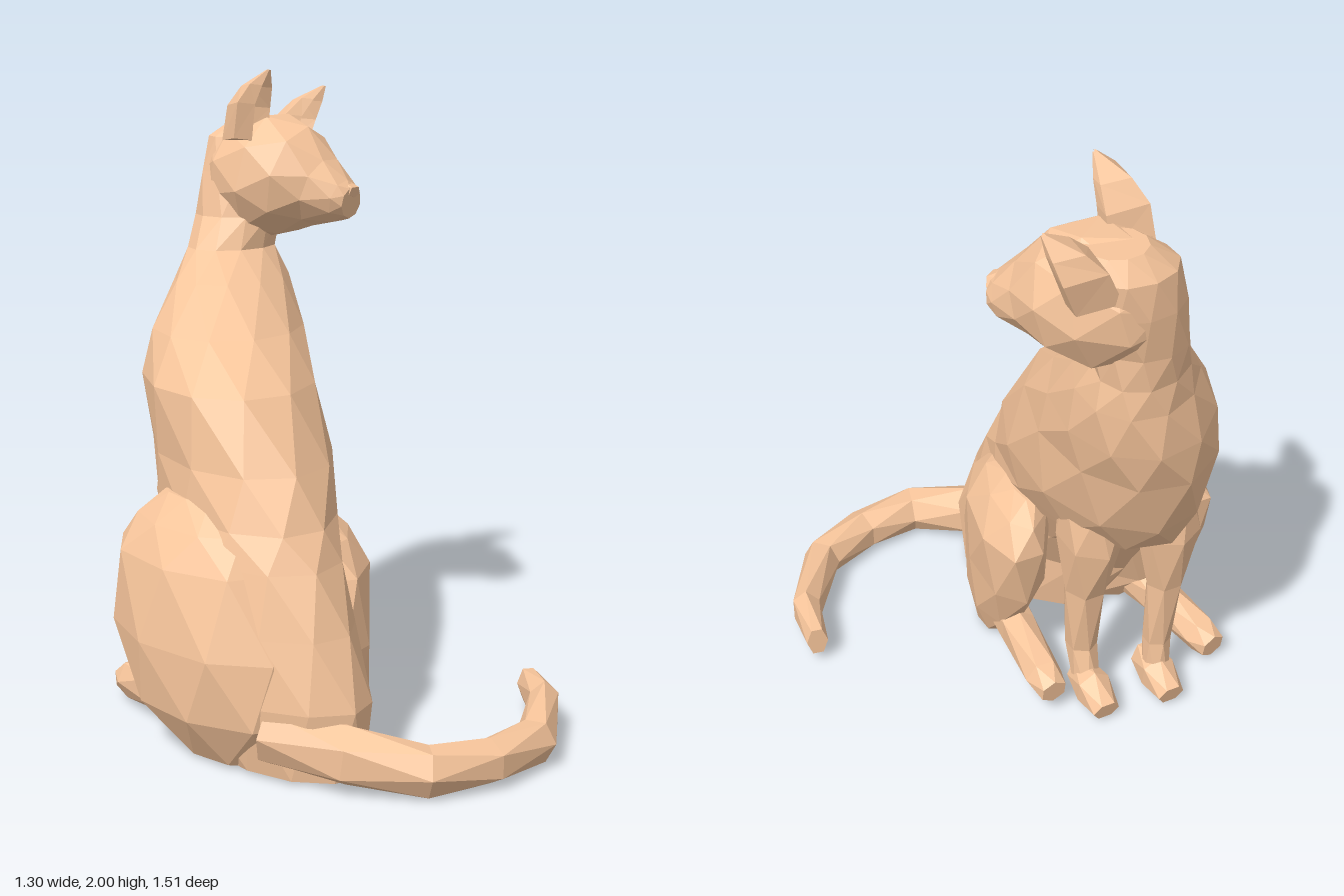
import * as THREE from 'three';

const fur = new THREE.MeshStandardMaterial({ color: 0xf8c69c, flatShading: true });

// Unit outline with n sides; odd rings are turned by half a step for a faceted skin
const circle = (n, odd) => Array.from({ length: n }, (_, i) => {
  const a = ((i + (odd ? 0.5 : 0)) / n) * Math.PI * 2;
  return [Math.cos(a), Math.sin(a)];
});

// Closed skin over a list of rings with equal point counts
function loft(name, rings) {
  const n = rings[0].length, pos = [];
  const tri = (...p) => p.forEach(v => pos.push(v.x, v.y, v.z));
  const middle = ring => ring.reduce((s, v) => s.add(v), new THREE.Vector3()).divideScalar(n);
  const first = rings[0], last = rings[rings.length - 1];
  const c0 = middle(first), c1 = middle(last);
  for (let i = 0; i < n; i++) {
    const j = (i + 1) % n;
    tri(c0, first[i], first[j]);
    tri(c1, last[j], last[i]);
    for (let r = 0; r < rings.length - 1; r++) {
      const a = rings[r], b = rings[r + 1];
      if (r % 2) { tri(a[i], b[i], b[j]); tri(a[i], b[j], a[j]); }
      else { tri(a[i], b[i], a[j]); tri(b[i], b[j], a[j]); }
    }
  }
  const g = new THREE.BufferGeometry();
  g.setAttribute('position', new THREE.Float32BufferAttribute(pos, 3));
  g.computeVertexNormals();
  const mesh = new THREE.Mesh(g, fur);
  mesh.name = name;
  return mesh;
}

// Horizontal slices: [y, xMin, xMax, zMin, zMax, sideways shift of the rear]
const stack = (name, slices, n, outline) => loft(name, slices.map(([y, x0, x1, z0, z1, shear = 0], k) =>
  (outline || circle(n, k % 2)).map(([c, s]) => new THREE.Vector3(
    (x0 + x1) / 2 + c * (x1 - x0) / 2 + s * shear, y, (z0 + z1) / 2 + s * (z1 - z0) / 2))));

// Sections across a path that runs sideways: [x, y, z, half width, half height]
function limb(name, path, n) {
  const up = new THREE.Vector3(0, 1, 0);
  const pts = path.map(p => new THREE.Vector3(p[0], p[1], p[2]));
  return loft(name, path.map(([, , , w, h], k) => {
    const t = pts[Math.min(k + 1, pts.length - 1)].clone().sub(pts[Math.max(k - 1, 0)]).normalize();
    const side = up.clone().cross(t).normalize(), over = side.clone().cross(t);
    return circle(n, k % 2).map(([c, s]) =>
      pts[k].clone().addScaledVector(side, c * w).addScaledVector(over, s * h));
  }));
}

function makeHead() {
  const head = new THREE.Group();
  head.name = 'head';
  // skull and muzzle, facing local +z
  head.add(limb('skull', [
    [0, 0.03, -0.19, 0.08, 0.10],
    [0, 0.01, -0.12, 0.155, 0.165],
    [0, -0.015, 0, 0.195, 0.21],
    [0, -0.03, 0.11, 0.18, 0.18],
    [0, -0.06, 0.20, 0.125, 0.115],
    [0, -0.085, 0.28, 0.085, 0.07],
    [0, -0.09, 0.31, 0.06, 0.05],
  ], 9));
  // nose bridge
  head.add(limb('nose', [
    [0, 0.03, 0.12, 0.06, 0.04],
    [0, -0.025, 0.24, 0.045, 0.03],
    [0, -0.055, 0.32, 0.035, 0.02],
  ], 5));
  // cupped ears, hollow towards the face
  const cup = [[1, 0.2], [0.55, 0.75], [0, -0.35], [-0.55, 0.75], [-1, 0.2], [0, -1]];
  for (const s of [1, -1]) {
    const slice = (y, x, z, w, d) => [y, s * x - w, s * x + w, z - d, z + d];
    head.add(stack(s > 0 ? 'leftEar' : 'rightEar', [
      slice(0.08, 0.125, -0.03, 0.085, 0.08),
      slice(0.19, 0.15, -0.01, 0.085, 0.075),
      slice(0.25, 0.165, 0.025, 0.055, 0.055),
      slice(0.30, 0.18, 0.075, 0.008, 0.008),
    ], 6, cup));
  }
  // turned to look over the shoulder, slightly tilted
  head.position.set(0, 1.67, -0.55);
  head.rotation.set(0, 0.7, -0.17, 'YXZ');
  return head;
}

export function createModel() {
  const cat = new THREE.Group();
  cat.name = 'sittingCat';

  // torso and neck, running up into the back of the head
  cat.add(stack('body', [
    [0.01, -0.42, -0.06, 0.02, 0.53, 0.08],
    [0.22, -0.51, -0.07, -0.10, 0.55, 0.13],
    [0.42, -0.51, -0.05, -0.22, 0.485, 0.08],
    [0.60, -0.50, -0.02, -0.38, 0.41, 0.03],
    [0.70, -0.49, 0.01, -0.55, 0.35, 0],
    [0.85, -0.49, 0.05, -0.65, 0.26, -0.02],
    [1.06, -0.50, 0.05, -0.72, 0.12, -0.05],
    [1.20, -0.44, 0.06, -0.745, -0.08, -0.06],
    [1.34, -0.34, 0.05, -0.735, -0.28, -0.06],
    [1.43, -0.27, 0.03, -0.73, -0.43, -0.04],
    [1.53, -0.23, 0.05, -0.74, -0.46, 0],
    [1.67, -0.205, 0.10, -0.755, -0.48, 0],
    [1.78, -0.175, 0.12, -0.75, -0.50, 0],
    [1.84, -0.09, 0.09, -0.70, -0.53, 0],
  ], 11));
  cat.add(makeHead());

  // haunches, blending into the rump
  cat.add(stack('leftHaunch', [
    [0.01, -0.12, 0.05, 0.02, 0.22, -0.03],
    [0.13, -0.14, 0.08, -0.08, 0.32, -0.05],
    [0.32, -0.15, 0.10, -0.21, 0.36, -0.06],
    [0.53, -0.14, 0.115, -0.26, 0.30, -0.06],
    [0.62, -0.12, 0.06, -0.22, 0.22, -0.05],
    [0.67, -0.09, 0.00, -0.14, 0.10, -0.03],
  ], 8));
  cat.add(stack('rightHaunch', [
    [0.01, -0.50, -0.26, 0.00, 0.34, 0.05],
    [0.15, -0.60, -0.24, -0.13, 0.44, 0.10],
    [0.35, -0.64, -0.24, -0.26, 0.44, 0.10],
    [0.58, -0.62, -0.26, -0.31, 0.34, 0.08],
    [0.68, -0.56, -0.30, -0.24, 0.25, 0.06],
    [0.76, -0.49, -0.36, -0.14, 0.12, 0.03],
  ], 8));

  // hind feet
  cat.add(limb('leftHindFoot', [
    [-0.01, 0.12, 0.06, 0.07, 0.10],
    [0.01, 0.12, -0.10, 0.06, 0.075],
    [0.03, 0.10, -0.32, 0.06, 0.065],
    [0.03, 0.09, -0.39, 0.045, 0.045],
  ], 6));
  cat.add(limb('rightHindFoot', [
    [-0.46, 0.12, 0.05, 0.07, 0.10],
    [-0.50, 0.10, -0.15, 0.06, 0.08],
    [-0.54, 0.07, -0.35, 0.06, 0.065],
    [-0.55, 0.06, -0.41, 0.045, 0.045],
  ], 6));

  // front legs and paws
  cat.add(stack('leftFrontLeg', [
    [0.03, -0.15, -0.06, -0.42, -0.31],
    [0.20, -0.15, -0.05, -0.38, -0.27],
    [0.45, -0.16, -0.03, -0.42, -0.26],
    [0.66, -0.19, 0.00, -0.49, -0.24],
    [0.85, -0.20, -0.01, -0.50, -0.22],
  ], 6));
  cat.add(stack('rightFrontLeg', [
    [0.03, -0.37, -0.28, -0.47, -0.37],
    [0.20, -0.37, -0.28, -0.46, -0.37],
    [0.45, -0.39, -0.27, -0.49, -0.37],
    [0.66, -0.43, -0.23, -0.53, -0.34],
    [0.85, -0.42, -0.20, -0.50, -0.28],
  ], 6));
  for (const [name, x, z] of [['leftFrontPaw', -0.1, -0.32], ['rightFrontPaw', -0.32, -0.35]]) {
    cat.add(limb(name, [
      [x, 0.07, z, 0.045, 0.06],
      [x, 0.07, z - 0.09, 0.06, 0.07],
      [x, 0.045, z - 0.18, 0.045, 0.04],
    ], 6));
  }

  // tail curling along the ground
  cat.add(limb('tail', [
    [-0.34, 0.14, 0.38, 0.08, 0.09],
    [-0.15, 0.10, 0.55, 0.09, 0.09],
    [0.04, 0.075, 0.68, 0.075, 0.075],
    [0.24, 0.07, 0.66, 0.07, 0.07],
    [0.43, 0.07, 0.575, 0.065, 0.07],
    [0.58, 0.08, 0.34, 0.05, 0.075],
    [0.61, 0.085, 0.17, 0.035, 0.055],
  ], 6));
  return cat;
}
